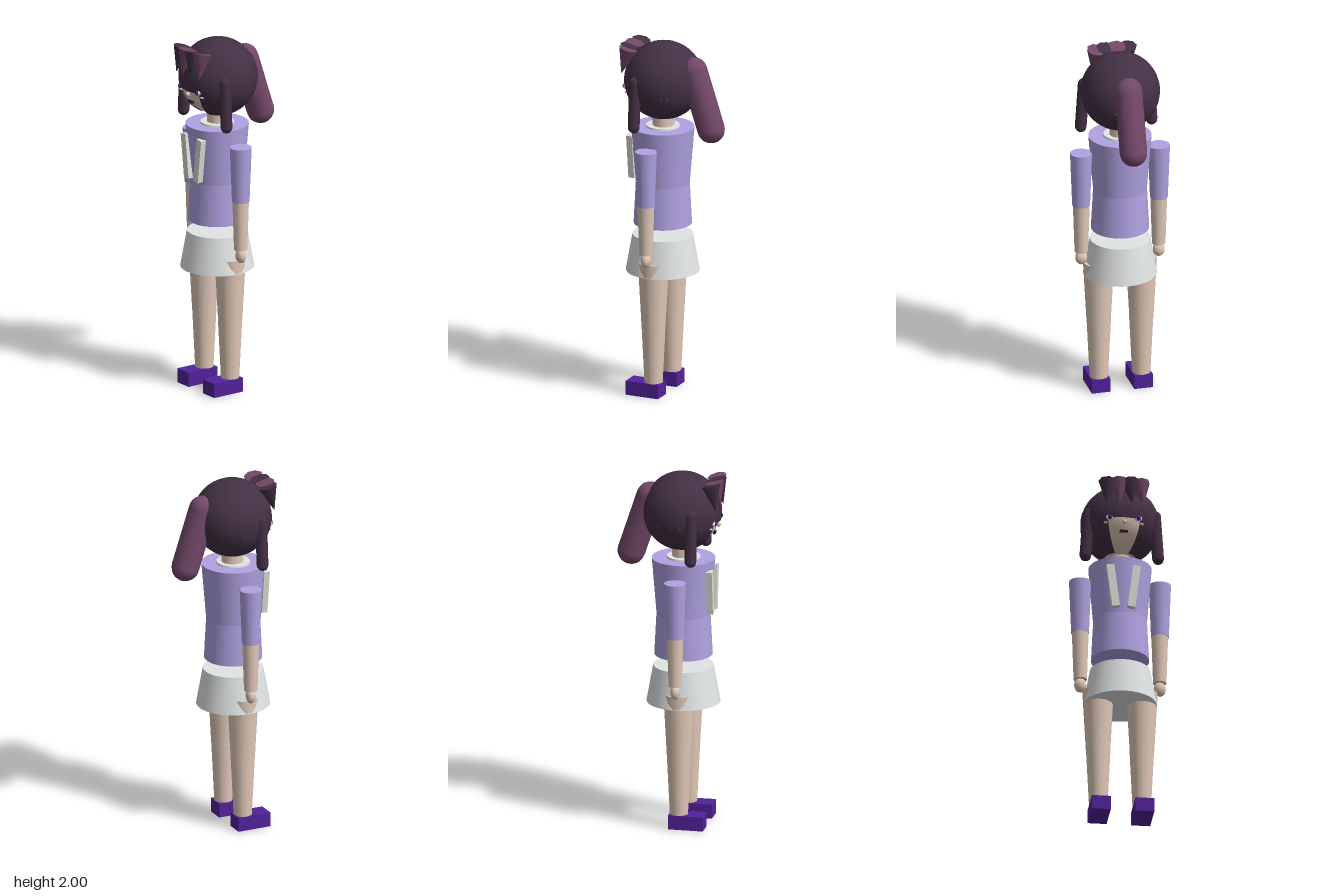
import * as THREE from 'three';

const mat = (name, color, side = THREE.FrontSide) => {
  const m = new THREE.MeshStandardMaterial({ color, side });
  m.name = name;
  return m;
};

export function createModel() {
  const root = new THREE.Group();
  root.name = 'figure';
  const skin = mat('skin', 0xe2cab9);
  const lavender = mat('lavender', 0xb0a2e2);
  const white = mat('white', 0xe2e5e6);
  const trim = mat('trim', 0xdedfd8);
  const hair = mat('dark hair', 0x433044, THREE.DoubleSide);
  const plum = mat('plum hair', 0x734869);
  const purple = mat('purple', 0x52229a);
  const dark = mat('dark detail', 0x241a30);
  const Z = 0.066; // body axis

  const add = (name, geo, material, x = 0, y = 0, z = 0) => {
    const mesh = new THREE.Mesh(geo, material);
    mesh.name = name;
    mesh.position.set(x, y, z);
    root.add(mesh);
    return mesh;
  };
  // upright tapered cylinder between two heights
  const taper = (name, material, x, y0, y1, r0, r1, seg = 16, z = Z) =>
    add(name, new THREE.CylinderGeometry(r1, r0, y1 - y0, seg), material, x, (y0 + y1) / 2, z);
  // turn a mesh so its own +y runs from one point to another
  const span = (mesh, from, to) => {
    mesh.position.copy(from).add(to).multiplyScalar(0.5);
    mesh.quaternion.setFromUnitVectors(new THREE.Vector3(0, 1, 0), to.clone().sub(from).normalize());
    return mesh;
  };
  const capsule = (name, material, a, b, r, seg) => {
    const from = new THREE.Vector3(...a), to = new THREE.Vector3(...b);
    return span(add(name, new THREE.CapsuleGeometry(r, from.distanceTo(to), 6, seg), material), from, to);
  };
  const ball = (name, material, x, y, z, sx, sy, sz) => {
    const m = add(name, new THREE.SphereGeometry(1, 14, 10), material, x, y, z);
    m.scale.set(sx, sy, sz);
    return m;
  };

  // Torso, collar, neck and skirt
  taper('upperTorso', lavender, 0, 1.196, 1.515, 0.148, 0.174, 32);
  taper('lowerTorso', lavender, 0, 0.963, 1.196, 0.16, 0.148, 32);
  taper('collar', white, 0, 1.505, 1.525, 0.095, 0.092, 24);
  taper('neck', skin, 0, 1.5, 1.64, 0.06, 0.06, 16, 0.062);
  taper('skirt', white, 0, 0.693, 0.9, 0.203, 0.166, 32);

  // Paired parts
  for (const s of [1, -1]) {
    const side = s > 0 ? 'left' : 'right';
    taper(side + 'Thigh', skin, s * 0.121, 0.42, 0.77, 0.067, 0.086, 18);
    taper(side + 'Shin', skin, s * 0.12, 0.07, 0.42, 0.05, 0.067, 18);
    add(side + 'Shoe', new THREE.BoxGeometry(0.104, 0.08, 0.195), purple, s * 0.12, 0.04, 0.113);

    taper(side + 'Sleeve', lavender, s * 0.22, 1.118, 1.43, 0.049, 0.061, 14);
    taper(side + 'Forearm', skin, s * 0.219, 0.84, 1.118, 0.037, 0.046, 14);
    ball(side + 'Hand', skin, s * 0.219, 0.805, Z, 0.034, 0.042, 0.027);

    const strip = add(side + 'ChestStrip', new THREE.BoxGeometry(0.043, 0.25, 0.034), trim,
      s * 0.058, 1.34, 0.227);
    strip.rotation.z = -s * 0.125;

    capsule(side + 'Lock', hair, [s * 0.2, 1.554, 0.148], [s * 0.183, 1.806, 0.148], 0.033, 9);

    // Eyes set on the front of the head
    ball(side + 'Eye', white, s * 0.078, 1.742, 0.252, 0.022, 0.016, 0.013);
    ball(side + 'Iris', purple, s * 0.079, 1.742, 0.26, 0.013, 0.014, 0.009);
    ball(side + 'Pupil', dark, s * 0.08, 1.742, 0.267, 0.005, 0.007, 0.004);
    ball(side + 'Cheek', skin, s * 0.098, 1.715, 0.24, 0.014, 0.006, 0.009);
  }

  // Head and face
  const hy = 1.782, hz = 0.06, R = 0.218;
  add('head', new THREE.SphereGeometry(0.208, 28, 20), skin, 0, hy, hz);
  ball('nose', skin, 0, 1.715, 0.264, 0.012, 0.013, 0.013);
  add('mouth', new THREE.BoxGeometry(0.044, 0.011, 0.012), dark, 0, 1.668, 0.241);

  // Hair shell: full cap above the brow, open wedge over the face below it
  const brow = Math.acos((1.737 - hy) / R), hem = Math.acos((1.582 - hy) / R), gap = 0.43;
  add('hairCap', new THREE.SphereGeometry(R, 28, 14, 0, Math.PI * 2, 0, brow), hair, 0, hy, hz);
  add('hairBack', new THREE.SphereGeometry(R, 26, 8, Math.PI / 2 + gap, Math.PI * 2 - gap * 2,
    brow, hem - brow), hair, 0, hy, hz);

  // Fringe of downward spikes
  const bangDark = hair.clone();
  bangDark.side = THREE.FrontSide;
  [[-0.085, 0.235, hair], [-0.027, 0.246, plum], [0.036, 0.246, hair], [0.09, 0.233, plum]]
    .forEach(([x, z, material], i) => {
      const base = new THREE.Vector3(x, 1.962, z);
      const tip = new THREE.Vector3(x * 1.18, 1.82, z + 0.034);
      const geo = new THREE.ConeGeometry(0.054, base.distanceTo(tip), 8);
      span(add('bang' + (i + 1), geo, material), base, tip);
    });

  // Ponytail
  capsule('ponytail', plum, [0, 1.535, -0.225], [0, 1.855, -0.12], 0.077, 14);

  return root;
}
